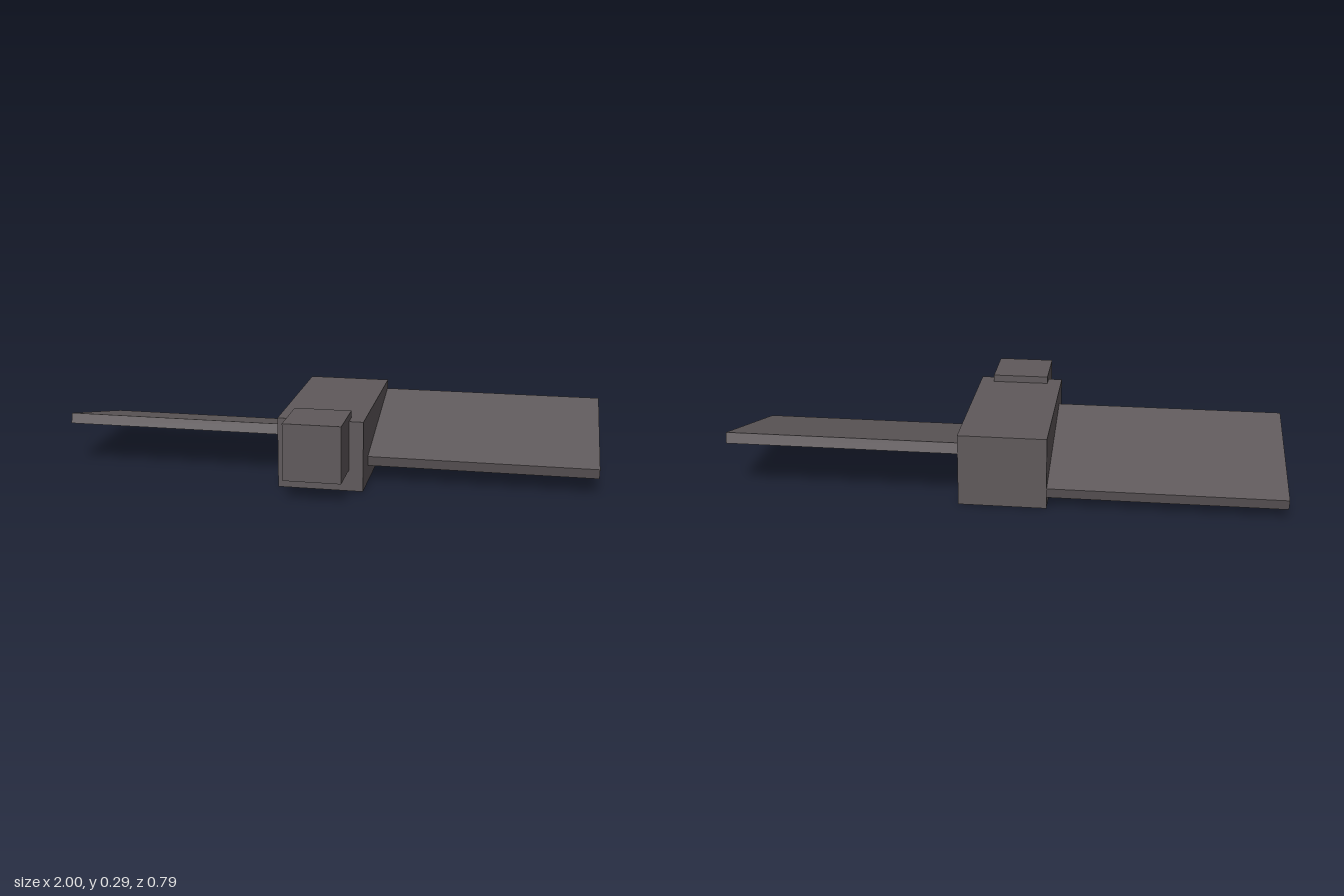
import * as THREE from 'three';

// One modelling unit; the wingspan is 38 units
const U = 2 / 38;

export function createModel() {
  const model = new THREE.Group();
  model.name = 'blockFlyer';

  const slate = new THREE.MeshStandardMaterial({ color: 0x5f595b });
  slate.name = 'slate grey';

  const addBox = (name, size, centre, tilt = 0) => {
    const mesh = new THREE.Mesh(new THREE.BoxGeometry(...size.map(v => v * U)), slate);
    mesh.name = name;
    mesh.position.set(...centre.map(v => v * U));
    mesh.rotation.x = tilt;
    model.add(mesh);
  };

  // Body and the head overlapping its front end
  addBox('body', [6, 5, 12], [0, 2.5, -1.5]);
  addBox('head', [4, 4, 4], [0, 3.5, 5.5]);

  // Wings pitched in opposite directions
  addBox('leftWing', [16, 0.75, 10], [11, 2.78, -2.5], 0.25);
  addBox('rightWing', [16, 0.75, 10], [-11, 2.3, -2.5], -0.25);

  return model;
}
